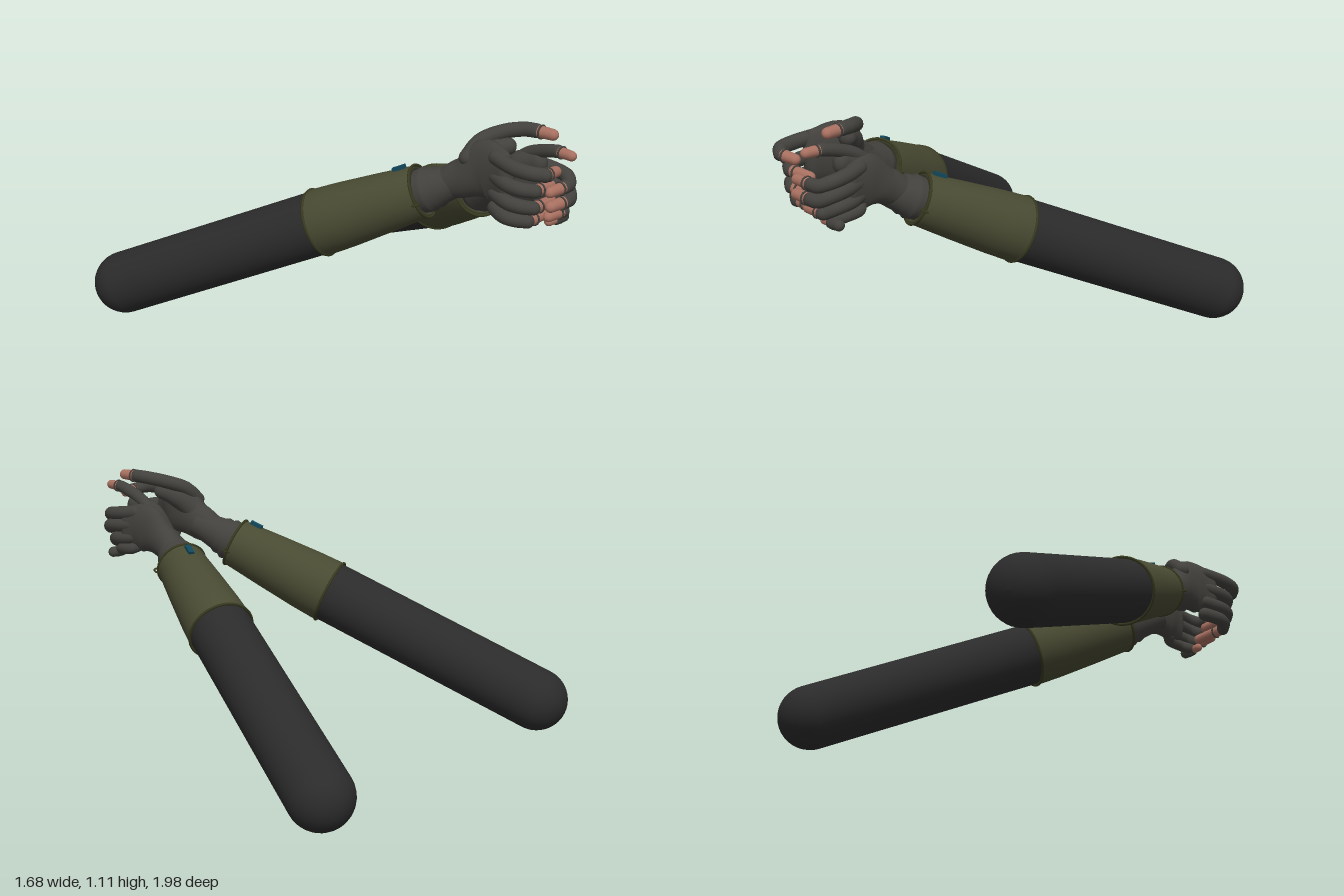
import * as THREE from 'three';

const mat = (color) => new THREE.MeshStandardMaterial({ color, roughness: 0.8 });
const V = (x, y, z) => new THREE.Vector3(x, y, z);

// Smooth round-ended limb through stations [x, y, z, halfWidth, halfHeight]
function loft(stations, sides = 16) {
  const curve = new THREE.CatmullRomCurve3(stations.map(s => V(s[0], s[1], s[2])), false, 'centripetal');
  const n = (stations.length - 1) * 6, caps = 5, rings = [];
  const size = (t, k) => {
    const f = t * (stations.length - 1), i = Math.min(Math.floor(f), stations.length - 2);
    return THREE.MathUtils.lerp(stations[i][k], stations[i + 1][k], THREE.MathUtils.smoothstep(f - i, 0, 1));
  };
  const addRing = (t, angle, end) => {
    const w = size(t, 3), h = size(t, 4), tangent = curve.getTangent(t);
    const center = curve.getPoint(t).addScaledVector(tangent, end * Math.min(w, h) * Math.sin(angle));
    const k = Math.max(Math.cos(angle), 0.001);
    const side = V(0, 1, 0).cross(tangent).normalize(), up = tangent.clone().cross(side);
    rings.push({ center, side: side.multiplyScalar(w * k), up: up.multiplyScalar(h * k) });
  };
  for (let i = caps; i > 0; i--) addRing(0, i / caps * Math.PI / 2, -1);
  for (let i = 0; i <= n; i++) addRing(i / n, 0, 0);
  for (let i = 1; i <= caps; i++) addRing(1, i / caps * Math.PI / 2, 1);
  const pos = [], index = [];
  rings.forEach((r, i) => {
    for (let j = 0; j < sides; j++) {
      const a = j / sides * Math.PI * 2;
      pos.push(...r.center.clone().addScaledVector(r.side, Math.cos(a)).addScaledVector(r.up, Math.sin(a)).toArray());
      if (i === 0) continue;
      const b = (i - 1) * sides, c = i * sides, k = (j + 1) % sides;
      index.push(b + j, b + k, c + j, b + k, c + k, c + j);
    }
  });
  const g = new THREE.BufferGeometry();
  g.setAttribute('position', new THREE.Float32BufferAttribute(pos, 3));
  g.setIndex(index);
  g.computeVertexNormals();
  return g;
}

export function createModel() {
  const model = new THREE.Group();
  const arm = mat(0x2b2b2b), olive = mat(0x484a32), trim = mat(0x38391f), glove = mat(0x42413d);
  const skin = mat(0xa87060), blue = mat(0x12485c);
  const add = (parent, name, geometry, material) => {
    const m = new THREE.Mesh(geometry, material);
    m.name = name;
    parent.add(m);
    return m;
  };
  const lathe = (pts) => new THREE.LatheGeometry(pts.map(p => new THREE.Vector2(...p)), 40);

  // Forearm with sleeve and cuff, built along local +y from the rounded end
  function buildArm(name, from, to) {
    const g = new THREE.Group();
    g.name = name;
    const axis = to.clone().sub(from), L = axis.length();
    axis.normalize();
    const x = axis.clone().cross(V(0, 1, 0)).normalize(), z = x.clone().cross(axis);
    g.quaternion.setFromRotationMatrix(new THREE.Matrix4().makeBasis(x, axis, z));
    g.position.copy(from);
    const e = L * 0.68, pts = [];
    for (let i = 0; i <= 10; i++) {
      const a = (1 - i / 10) * Math.PI / 2;
      pts.push([0.135 * Math.cos(a), -0.135 * Math.sin(a)]);
    }
    add(g, 'upperArm', lathe([...pts, [0.133, e + 0.03]]), arm);
    const sleeve = add(g, 'sleeve', lathe([[0.13, e], [0.14, e], [0.135, e + 0.12], [0.122, e + 0.3],
      [0.107, L], [0.09, L], [0.085, L - 0.04]]), olive.clone());
    sleeve.material.side = THREE.DoubleSide;
    for (const [r, y] of [[0.139, e], [0.108, L]]) {
      const hem = add(g, 'sleeveHem', new THREE.TorusGeometry(r, 0.006, 8, 48), trim);
      hem.rotation.x = Math.PI / 2;
      hem.position.y = y;
    }
    add(g, 'gloveCuff', lathe([[0.085, L - 0.05], [0.09, L + 0.02], [0.093, L + 0.035], [0.082, L + 0.05],
      [0.084, L + 0.07], [0.074, L + 0.09], [0.064, L + 0.15], [0.06, L + 0.2]]), glove);
    // Pull tag and cord loops
    add(g, 'pullTag', new THREE.BoxGeometry(0.024, 0.055, 0.014), blue).position.set(0, L - 0.055, 0.118);
    for (const s of [-1, 1]) {
      const loop = add(g, 'cordLoop', new THREE.TorusGeometry(0.015, 0.004, 6, 16), trim);
      loop.position.set(s * 0.107, L + 0.003, -0.02);
    }
    model.add(g);
  }
  buildArm('leftArm', V(0.705, 0.14, -0.775), V(0.1, 0.74, 0.46));
  buildArm('rightArm', V(-0.71, 0.19, -0.865), V(-0.195, 0.80, 0.40));

  // Gloved digit whose last point carries the bare fingertip
  function digit(hand, name, points, r) {
    const n = points.length, st = points.map((p, i) => [...p, r * (1.12 - 0.16 * i / n), r * (1.12 - 0.16 * i / n)]);
    add(hand, name, loft(st.slice(0, n - 1)), glove);
    const a = V(...points[n - 2]), b = V(...points[n - 1]);
    const s = a.clone().lerp(b, 0.15), t = r * 0.9;
    add(hand, name + 'Tip', loft([[...s.toArray(), t, t], [...b.toArray(), t * 0.9, t * 0.9]]), skin);
    const rim = add(hand, name + 'Rim', new THREE.TorusGeometry(r * 0.93, 0.004, 6, 20), glove);
    rim.position.copy(a.clone().lerp(b, 0.3));
    rim.quaternion.setFromUnitVectors(V(0, 0, 1), b.clone().sub(a).normalize());
  }
  const names = ['index', 'middle', 'ring', 'little'];

  // Left hand: fingers wrap over the front of the other hand
  const left = new THREE.Group();
  left.name = 'leftHand';
  add(left, 'palm', loft([[0.075, 0.78, 0.52, 0.062, 0.062], [0.06, 0.82, 0.6, 0.058, 0.075],
    [0.06, 0.865, 0.7, 0.05, 0.11], [0.075, 0.865, 0.8, 0.036, 0.095]], 24), glove);
  add(left, 'thumbBase', loft([[0.045, 0.84, 0.6, 0.045, 0.05], [0.03, 0.93, 0.7, 0.05, 0.05],
    [0.03, 0.96, 0.8, 0.035, 0.045]]), glove);
  [0.925, 0.87, 0.815, 0.77].forEach((y, i) => {
    const dz = [0, 0.005, -0.025, -0.06][i], tx = [-0.075, -0.075, -0.045, 0.008][i], ty = [0.9, 0.842, 0.785, 0.74][i];
    digit(left, names[i] + 'Finger', [[0.075, y + 0.01, 0.75], [0.088, y, 0.83 + dz], [0.08, y - 0.01, 0.9 + dz],
      [0.045, ty, 0.935 + dz], [tx + 0.085, ty, 0.942 + dz], [tx, ty, 0.935 + dz]], [0.027, 0.028, 0.026, 0.023][i]);
  });
  digit(left, 'thumb', [[0.05, 0.9, 0.64], [0.04, 0.98, 0.74], [0.03, 1.015, 0.83], [0.022, 1.03, 0.895],
    [0.012, 1.03, 0.965]], 0.025);

  // Right hand: cups the other hand, thumb crossing over the top
  const right = new THREE.Group();
  right.name = 'rightHand';
  add(right, 'palm', loft([[-0.165, 0.84, 0.47, 0.06, 0.06], [-0.14, 0.885, 0.57, 0.062, 0.08],
    [-0.13, 0.94, 0.68, 0.056, 0.125], [-0.155, 0.94, 0.78, 0.038, 0.11]], 24), glove);
  add(right, 'thumbBase', loft([[-0.14, 0.92, 0.58, 0.05, 0.05], [-0.09, 0.99, 0.64, 0.05, 0.05],
    [-0.04, 1.02, 0.7, 0.035, 0.035]]), glove);
  [1.0, 0.925, 0.855, 0.795].forEach((y, i) => {
    const dz = [0.045, 0, -0.005, -0.03][i], tx = [-0.065, -0.035, -0.02, 0][i];
    digit(right, names[i] + 'Finger', [[-0.16, y + 0.015, 0.74], [-0.185, y + 0.005, 0.82 + dz / 2],
      [-0.175, y, 0.88 + dz], [-0.14, y - 0.008, 0.912 + dz], [tx, y - 0.015, 0.905 + dz]], 0.027);
  });
  digit(right, 'thumb', [[-0.16, 0.98, 0.595], [-0.1, 1.035, 0.61], [-0.025, 1.07, 0.67], [0.015, 1.085, 0.74],
    [0.024, 1.088, 0.79], [0.026, 1.088, 0.865]], 0.028);
  model.add(left, right);
  return model;
}
